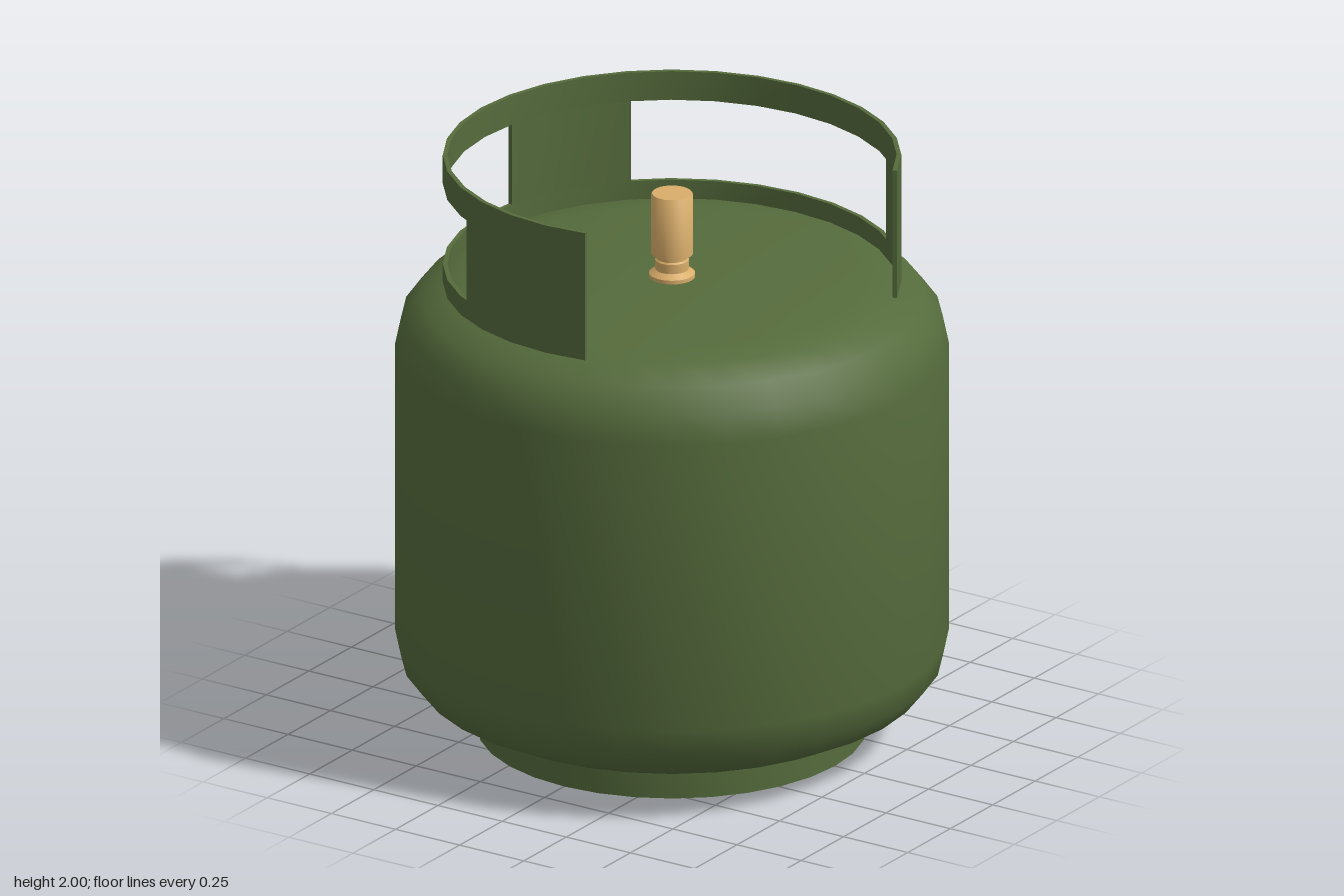
import * as THREE from 'three';
import { toCreasedNormals } from 'three/addons/utils/BufferGeometryUtils.js';

const SIDES = 32;
const STEP = 360 / SIDES;
const green = new THREE.MeshStandardMaterial({ color: 0x556b3c });
const brass = new THREE.MeshStandardMaterial({ color: 0xd9ad6a });

// Turned part from [radius, y] pairs listed bottom to top
function turned(name, profile, material) {
  const points = profile.map(([r, y]) => new THREE.Vector2(r, y));
  const geometry = toCreasedNormals(new THREE.LatheGeometry(points, SIDES), 0.75);
  const mesh = new THREE.Mesh(geometry, material);
  mesh.name = name;
  return mesh;
}

// Piece of the collar: a box bent around the y axis, angles in degrees from +z towards +x
function collarPiece(name, from, to, y0, y1) {
  const angles = [from];
  for (let k = Math.floor(from / STEP) + 1; k * STEP < to; k++) angles.push(k * STEP);
  angles.push(to);
  const n = angles.length - 1;
  const geometry = new THREE.BoxGeometry(1, 1, 1, n, 1, 1);
  const pos = geometry.attributes.position;
  for (let i = 0; i < pos.count; i++) {
    const angle = angles[Math.round((pos.getX(i) + 0.5) * n)];
    // Stay on the flat facet when an end falls between two corners
    const offset = angle - (Math.floor(angle / STEP) + 0.5) * STEP;
    const facet = Math.cos(THREE.MathUtils.degToRad(STEP / 2)) / Math.cos(THREE.MathUtils.degToRad(offset));
    const r = (pos.getZ(i) > 0 ? 0.745 : 0.73) * facet;
    const a = THREE.MathUtils.degToRad(angle);
    pos.setXYZ(i, r * Math.sin(a), pos.getY(i) > 0 ? y1 : y0, r * Math.cos(a));
  }
  geometry.computeVertexNormals();
  const mesh = new THREE.Mesh(geometry, green);
  mesh.name = name;
  return mesh;
}

export function createModel() {
  const model = new THREE.Group();
  model.name = 'gasCylinder';

  // Tank with rounded shoulders
  const shoulder = [[0.62, 0.105], [0.72, 0.12], [0.82, 0.17], [0.88, 0.245], [0.9, 0.34]];
  const upper = shoulder.map(([r, y]) => [r, 1.68 - y]).reverse();
  model.add(turned('tank', [[0, 0.105], ...shoulder, ...upper, [0, 1.575]], green));

  // Open foot ring
  model.add(turned('footRing', [
    [0.62, 0.115], [0.62, 0], [0.635, 0], [0.635, 0.115],
  ], green));

  // Collar: two bands joined by three posts
  const collar = new THREE.Group();
  collar.name = 'collar';
  const start = -247.5, end = 11.25;
  collar.add(collarPiece('lowerBand', start, end, 1.555, 1.62));
  collar.add(collarPiece('upperBand', start, end, 1.9, 2));
  const posts = [['frontPost', -30.5, end], ['backPost', -136, -101], ['endPost', start, -219.5]];
  for (const [name, from, to] of posts) collar.add(collarPiece(name, from, to, 1.62, 1.9));
  model.add(collar);

  // Valve: flange, neck and cap
  model.add(turned('valve', [
    [0.075, 1.565], [0.075, 1.588], [0.055, 1.603], [0.055, 1.635], [0.05, 1.64],
    [0.05, 1.655], [0.068, 1.655], [0.068, 1.862], [0.065, 1.866], [0, 1.866],
  ], brass));

  return model;
}
